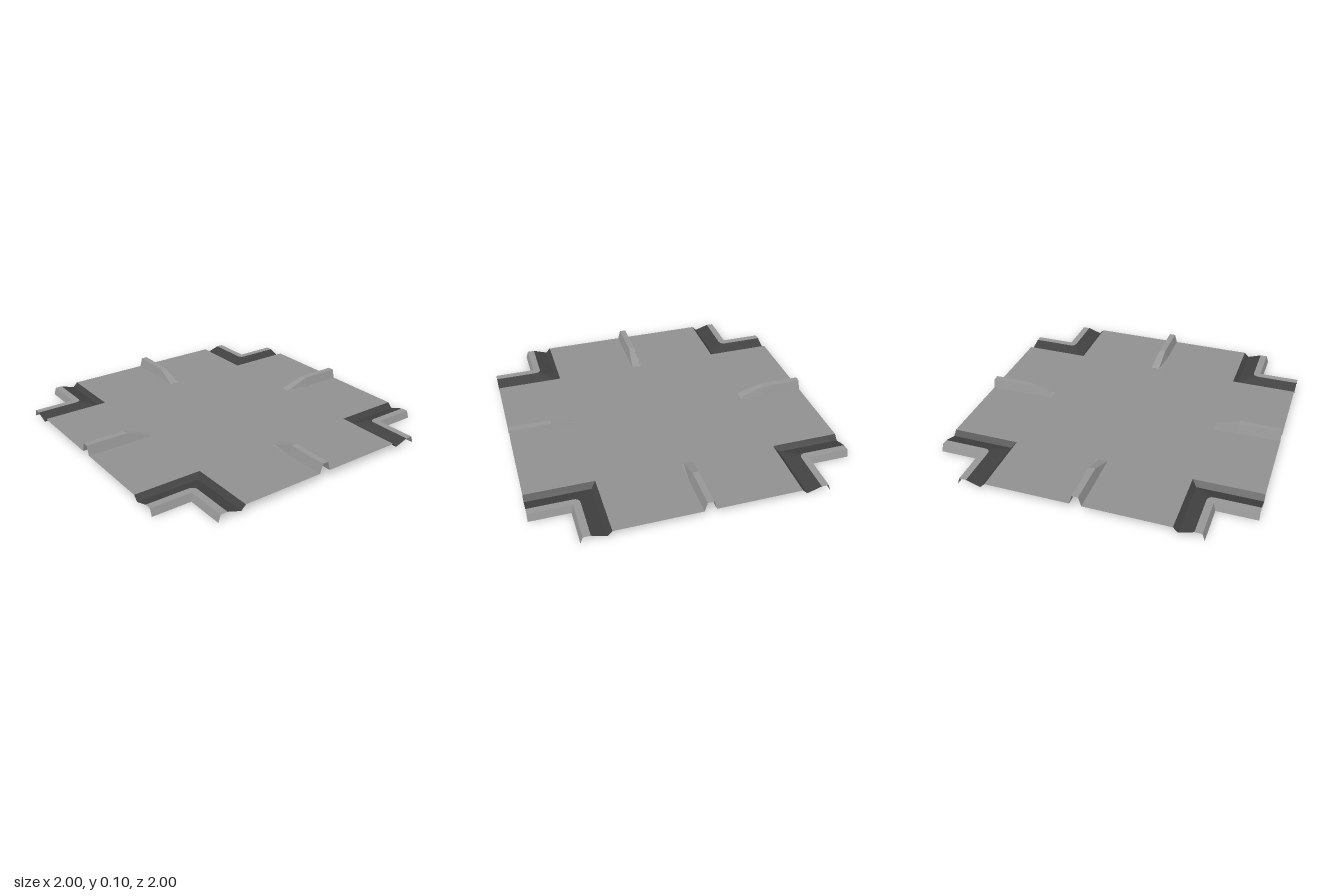
import * as THREE from 'three';

const ROAD_Y = 0.045;   // road surface height
const INNER = 0.57;     // where gutters and dividers begin

const mat = (name, color) =>
  new THREE.MeshStandardMaterial({ name, color, side: THREE.DoubleSide });

// Faceted sheet through rows of [x, y, z] points, skipping collapsed triangles
function sheet(rows) {
  const pos = [];
  const tri = (...pts) => {
    const [a, b, c] = pts.map((p) => new THREE.Vector3(...p));
    if (b.clone().sub(a).cross(c.clone().sub(a)).length() < 1e-8) return;
    for (const p of pts) pos.push(...p);
  };
  for (let i = 0; i < rows.length - 1; i++) {
    for (let j = 0; j < rows[i].length - 1; j++) {
      const a = rows[i][j], b = rows[i][j + 1];
      const c = rows[i + 1][j], d = rows[i + 1][j + 1];
      tri(a, b, c);
      tri(b, d, c);
    }
  }
  const g = new THREE.BufferGeometry();
  g.setAttribute('position', new THREE.Float32BufferAttribute(pos, 3));
  g.computeVertexNormals();
  return g;
}

// L-shaped line around a corner at distance d, with its bend rounded by r
function cornerRow(d, y, r = 0) {
  const row = [[1, y, d]];
  for (let i = 0; i <= 5; i++) {
    const t = (i / 5) * Math.PI / 2;
    row.push([d + r - r * Math.sin(t), y, d + r - r * Math.cos(t)]);
  }
  row.push([d, y, 1]);
  return row;
}

export function createModel() {
  const group = new THREE.Group();
  const asphalt = mat('asphalt', 0x909090);
  const concrete = mat('concrete', 0x979797);
  const gutterDark = mat('dark gutter', 0x414141);
  const add = (name, geo, m, turn = 0) => {
    const mesh = new THREE.Mesh(geo, m);
    mesh.name = name;
    mesh.rotation.y = turn;
    group.add(mesh);
  };

  // Cross-shaped road sheet, open beneath each divider
  const w = 0.037, top = 0.02;
  const arm = [[1, -INNER], [1, -w], [INNER, -w], [INNER, w], [1, w], [1, INNER], [INNER, INNER]];
  const outline = [];
  for (let k = 0; k < 4; k++) {
    for (const [x, y] of arm) {
      outline.push(new THREE.Vector2(x, y).rotateAround(new THREE.Vector2(), k * Math.PI / 2));
    }
  }
  const road = new THREE.ShapeGeometry(new THREE.Shape(outline));
  road.rotateX(-Math.PI / 2).translate(0, ROAD_Y, 0);
  add('road', road, asphalt);

  // Gutter, curb and divider, repeated for each quarter
  const curbEdge = cornerRow(0.69, ROAD_Y, 0.035);
  const gutter = sheet([cornerRow(INNER, ROAD_Y), cornerRow(0.6, 0.015), curbEdge]);
  const curb = sheet([curbEdge, cornerRow(0.735, ROAD_Y), cornerRow(0.75, 0)]);
  const ridge = (z, y) => [[INNER, ROAD_Y, z], [0.73, y, z], [1, y, z]];
  const divider = sheet([ridge(w, ROAD_Y), ridge(top, 0.105), ridge(-top, 0.105), ridge(-w, ROAD_Y)]);
  for (let k = 0; k < 4; k++) {
    const turn = k * Math.PI / 2;
    add('gutter', gutter, gutterDark, turn);
    add('curb', curb, concrete, turn);
    add('divider', divider, concrete, turn);
  }
  return group;
}
